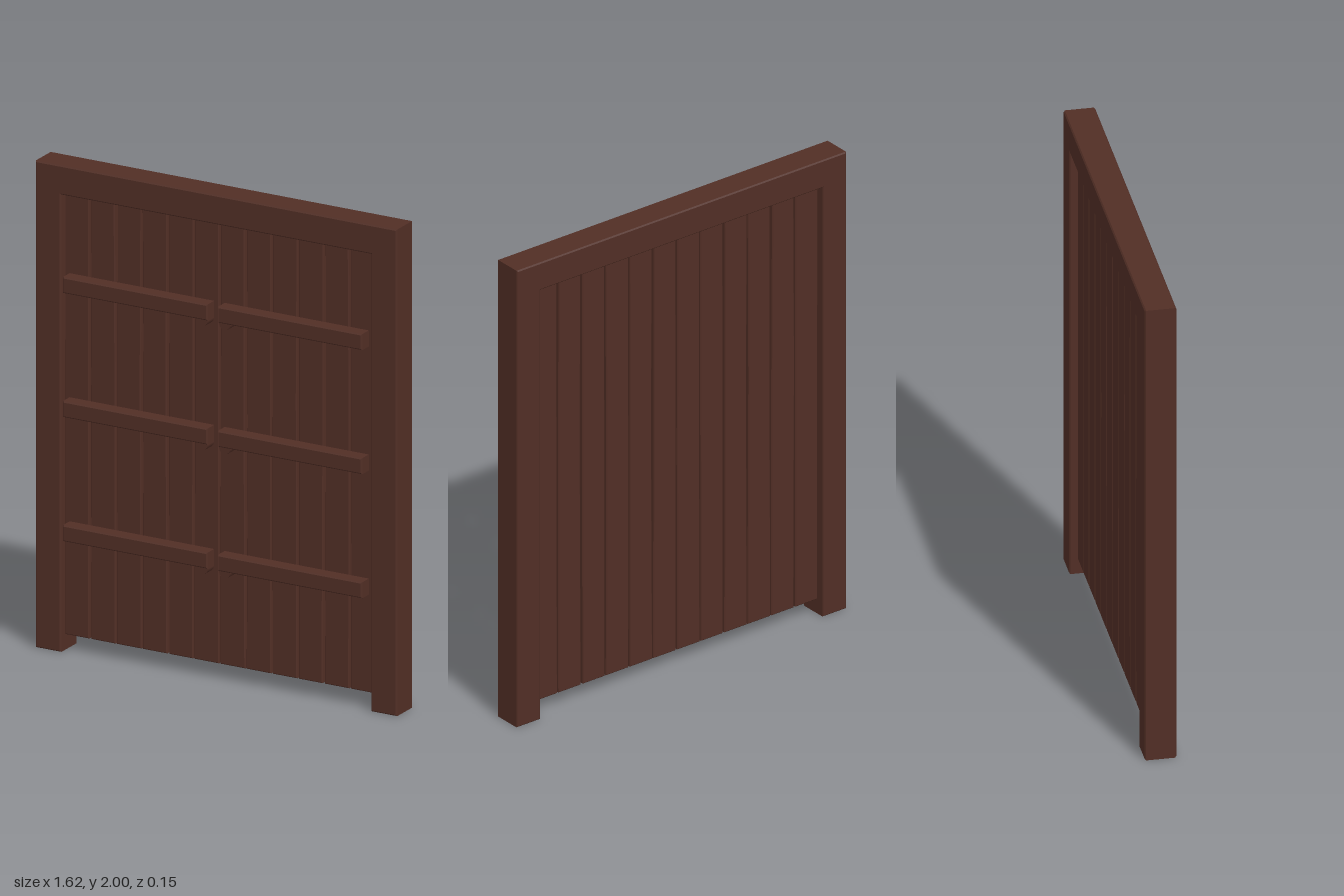
import * as THREE from 'three';

const wood = new THREE.MeshStandardMaterial({ color: 0x512e25 });
wood.name = 'dark brown wood';

// Board cut from an outline, with thin chamfers, spanning z0 to z1
function board(name, points, z0, z1, bevel = 0.005) {
  const shape = new THREE.Shape(points.map(([x, y]) => new THREE.Vector2(x, y)));
  const geometry = new THREE.ExtrudeGeometry(shape, {
    depth: z1 - z0 - 2 * bevel,
    bevelEnabled: true,
    bevelThickness: bevel,
    bevelSize: bevel,
    bevelOffset: -bevel,
    bevelSegments: 1,
  });
  geometry.translate(0, 0, z0 + bevel);
  const mesh = new THREE.Mesh(geometry, wood);
  mesh.name = name;
  return mesh;
}

// Seeded numbers from 0 to 1 for the uneven plank edges
function seeded(seed) {
  return () => {
    seed = (seed * 16807) % 2147483647;
    return seed / 2147483647;
  };
}

export function createModel() {
  const model = new THREE.Group();
  model.name = 'doubleGate';

  // Door frame: two posts joined by a lintel
  model.add(board('frame', [
    [-0.81, 0], [-0.695, 0], [-0.695, 1.88], [0.695, 1.88],
    [0.695, 0], [0.81, 0], [0.81, 2], [-0.81, 2],
  ], -0.075, 0.05));

  for (const side of [-1, 1]) {
    const leaf = new THREE.Group();
    leaf.name = side < 0 ? 'rightLeaf' : 'leftLeaf';
    model.add(leaf);

    // Six upright planks with slightly uneven edges
    const random = seeded(side < 0 ? 4217 : 9931);
    const pitch = 0.1165;
    const edge = () => 0.001 + random() * 0.006;
    for (let i = 0; i < 6; i++) {
      const x = side * (i + 0.5) * pitch - pitch / 2 ;
      const l = x, r = x + pitch;
      leaf.add(board('plank', [
        [l + edge(), 0.065], [r - edge(), 0.065], [r - edge(), 0.9 + random() * 0.4],
        [r - edge(), 1.882], [l + edge(), 1.882], [l + edge(), 0.9 + random() * 0.4],
      ], -0.042, 0.02, 0.004));
    }

    // Cross bars, each with a round peg beneath its inner end
    for (const y of [0.5, 1.01, 1.52]) {
      const x0 = side < 0 ? -0.673 : 0.022;
      const x1 = side < 0 ? -0.025 : 0.668;
      leaf.add(board('crossBar', [
        [x0, y - 0.033], [x1, y - 0.033], [x1, y + 0.033], [x0, y + 0.033],
      ], 0.015, 0.075));

      const peg = new THREE.Mesh(new THREE.CylinderGeometry(0.025, 0.025, 0.055, 12), wood);
      peg.name = 'peg';
      peg.rotation.x = Math.PI / 2;
      peg.position.set(side * 0.05, y - 0.035, 0.0425);
      leaf.add(peg);
    }
  }
  return model;
}
